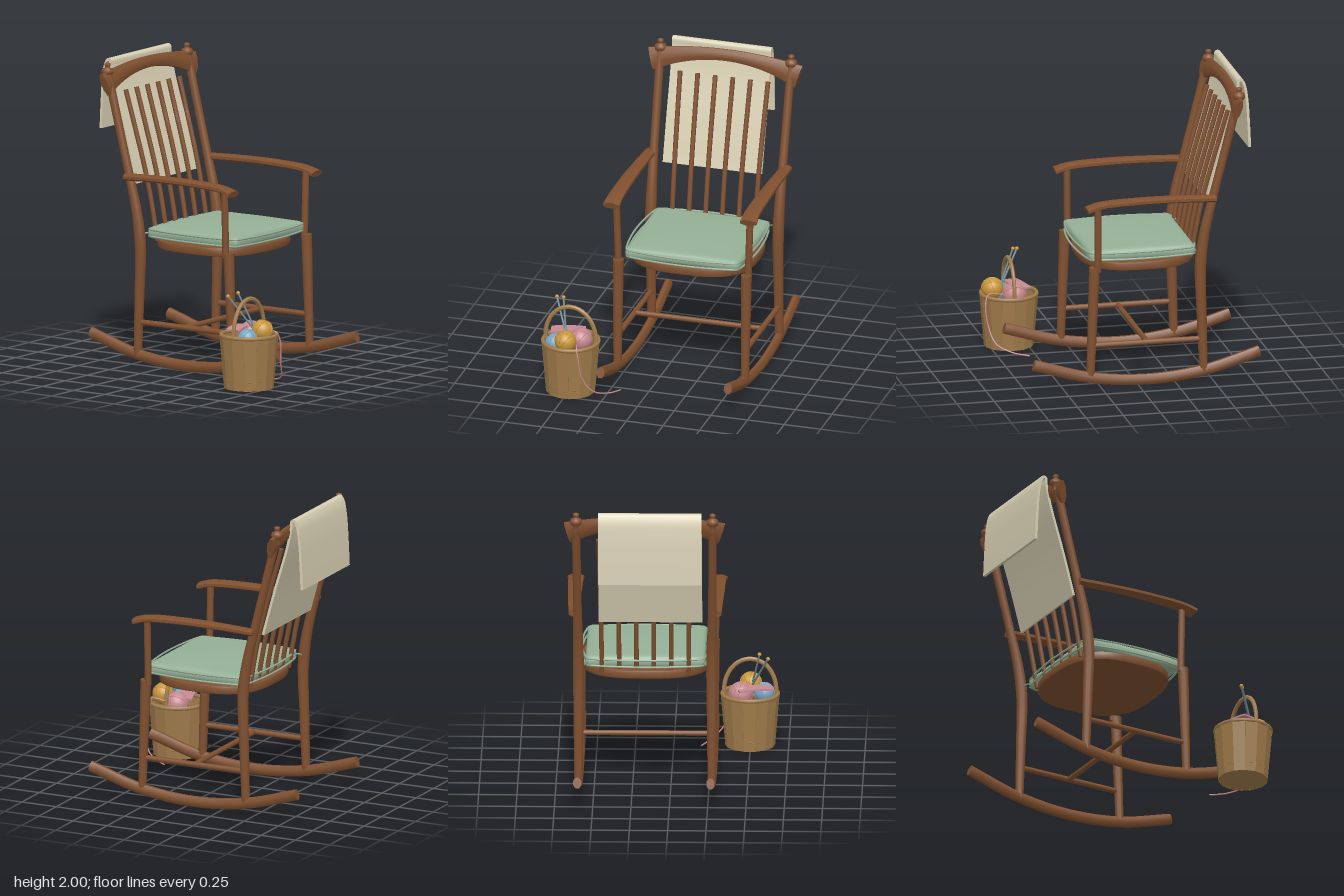
import * as THREE from 'three';
import { mergeVertices, toCreasedNormals } from 'three/addons/utils/BufferGeometryUtils.js';

const V = (x, y, z) => new THREE.Vector3(x, y, z);
const lerp = THREE.MathUtils.lerp;
const SIDEWAYS = V(1, 0, 0);

// Closed bar along a curve; w and h are half sizes (numbers or functions of t), w measured along "side".
function sweep(points, w, h, { sides = 12, side = SIDEWAYS, steps = 16, crease = 0.7 } = {}) {
  const curve = points.length > 2 ? new THREE.CatmullRomCurve3(points) : new THREE.LineCurve3(points[0], points[1]);
  const pos = [], idx = [];
  const k = 1 / Math.cos(Math.PI / sides);
  const val = (f, t) => (typeof f === 'function' ? f(t) : f);
  for (let i = 0; i <= steps; i++) {
    const t = i / steps, p = curve.getPoint(t), T = curve.getTangent(t);
    const S = side.clone().addScaledVector(T, -side.dot(T)).normalize();
    const U = T.clone().cross(S);
    for (let j = 0; j < sides; j++) {
      const a = ((j + 0.5) / sides) * Math.PI * 2;
      const q = p.clone().addScaledVector(S, Math.cos(a) * k * val(w, t)).addScaledVector(U, Math.sin(a) * k * val(h, t));
      pos.push(q.x, q.y, q.z);
    }
  }
  for (let i = 0; i < steps; i++) for (let j = 0; j < sides; j++) {
    const a = i * sides + j, b = i * sides + (j + 1) % sides;
    idx.push(a, b, a + sides, b, b + sides, a + sides);
  }
  const end = steps * sides;
  for (let j = 1; j < sides - 1; j++) {
    idx.push(0, j + 1, j, end, end + j, end + j + 1);
  }
  const g = new THREE.BufferGeometry();
  g.setAttribute('position', new THREE.Float32BufferAttribute(pos, 3));
  g.setIndex(idx);
  return toCreasedNormals(g, crease);
}

export function createModel() {
  const root = new THREE.Group();
  root.name = 'rockingChairWithBasket';
  const mat = (name, color) => Object.assign(new THREE.MeshStandardMaterial({ color }), { name });
  const wood = mat('wood', 0x80502f);
  const sage = mat('sageCushion', 0x95b096);
  const sageDark = mat('sagePiping', 0x78957f);
  const linen = mat('linen', 0xd8cfb3);
  const wicker = mat('wicker', 0xa17c4b);
  const mustard = mat('mustardYarn', 0xc9983c);
  const pink = mat('pinkYarn', 0xc78a91);
  const blue = mat('blueYarn', 0x7ba8c6);
  const steel = mat('needleGrey', 0x6c8794);
  const add = (parent, name, geometry, material) => {
    const m = new THREE.Mesh(geometry, material);
    m.name = name;
    parent.add(m);
    return m;
  };

  // ---- Chair ----
  const chair = new THREE.Group();
  chair.name = 'chair';
  chair.position.x = 0.165;
  root.add(chair);

  for (const s of [-1, 1]) {
    const rocker = [-1, -0.5, 0, 0.5, 1].map(u => V(s * 0.435, 0.038 + 0.143 * u * u, -0.055 + 0.755 * u));
    add(chair, 'rocker', sweep(rocker, 0.027, 0.035, { sides: 8, steps: 24 }), wood);

    const leg = t => lerp(0.026, 0.035, t);
    add(chair, 'frontLeg', sweep([V(s * 0.435, 0.07, 0.322), V(s * 0.437, 0.82, 0.295)], leg, leg), wood);

    const post = [[0.435, 0.07, -0.435], [0.435, 0.45, -0.423], [0.435, 0.8, -0.415], [0.437, 1.02, -0.443],
      [0.44, 1.25, -0.498], [0.443, 1.58, -0.582], [0.446, 1.91, -0.665]].map(p => V(s * p[0], p[1], p[2]));
    const postR = t => 0.027 + 0.01 * Math.max(0, 1 - Math.abs(t - 0.36) / 0.36);
    add(chair, 'backPost', sweep(post, postR, postR, { steps: 28 }), wood);

    const finial = new THREE.LatheGeometry([[0.024, -0.04], [0.024, -0.01], [0.038, 0.005], [0.041, 0.02], [0.036, 0.035],
      [0.017, 0.046], [0.015, 0.052], [0.021, 0.062], [0.018, 0.074], [0, 0.08]]
      .map(p => new THREE.Vector2(...p)), 14);
    add(chair, 'finial', finial, wood).position.set(s * 0.446, 1.908, -0.67);

    // arm and its support
    add(chair, 'armSupport', sweep([V(s * 0.443, 0.79, 0.275), V(s * 0.457, 1.25, 0.275)], 0.022, 0.022), wood);
    const arm = [[0.468, 1.222, 0.355], [0.466, 1.246, 0.27], [0.466, 1.26, 0], [0.465, 1.258, -0.25], [0.463, 1.248, -0.51]]
      .map(p => V(s * p[0], p[1], p[2]));
    add(chair, 'armRest', sweep(arm, t => lerp(0.056, 0.036, t), 0.022, { sides: 8, steps: 20 }), wood);

    add(chair, 'sideStretcher', sweep([V(s * 0.435, 0.29, 0.31), V(s * 0.435, 0.29, -0.425)], 0.018, 0.018), wood);

    // cushion tie hooked around the post
    const tie = [V(s * 0.37, 0.88, -0.38), V(s * 0.395, 0.87, -0.415), V(s * 0.42, 0.86, -0.425), V(s * 0.455, 0.83, -0.4), V(s * 0.46, 0.78, -0.405)];
    add(chair, 'cushionTie', new THREE.TubeGeometry(new THREE.CatmullRomCurve3(tie), 14, 0.006, 6), sageDark);
  }
  add(chair, 'crossStretcher', sweep([V(-0.435, 0.29, -0.06), V(0.435, 0.29, -0.06)], 0.017, 0.017, { side: V(0, 1, 0) }), wood);

  // seat board, a rounded-square outline
  const seatPts = [];
  for (let i = 0; i < 48; i++) {
    const a = (i / 48) * Math.PI * 2, c = Math.cos(a), d = Math.sin(a), e = 2 / 2.8;
    seatPts.push(new THREE.Vector2(Math.sign(c) * Math.abs(c) ** e * 0.41, Math.sign(d) * Math.abs(d) ** e * 0.368));
  }
  const seat = new THREE.ExtrudeGeometry(new THREE.Shape(seatPts),
    { depth: 0.03, bevelEnabled: true, bevelThickness: 0.015, bevelSize: 0.013, bevelSegments: 2 });
  seat.rotateX(-Math.PI / 2).translate(0, 0.79, -0.055);
  add(chair, 'seat', toCreasedNormals(seat, 0.6), wood);

  // crest rail, taller at the ends and bowed backwards
  const crest = [-1, -0.75, -0.5, -0.25, 0, 0.25, 0.5, 0.75, 1].map(u => V(u * 0.505, 1.926 - 0.08 * u * u, -0.668 + 0.018 * u * u));
  add(chair, 'crestRail', sweep(crest, t => 0.038 + 0.037 * (2 * t - 1) ** 2, 0.025,
    { sides: 8, steps: 28, side: V(0, 1, -0.25) }), wood);

  // back spindles
  for (let i = 0; i < 6; i++) {
    const k = i - 2.5;
    const path = [V(k * 0.113, 0.81, -0.385), V(k * 0.115, 1.2, -0.462), V(k * 0.12, 1.79, -0.628)];
    add(chair, 'backSpindle', sweep(path, 0.015, 0.015, { sides: 10 }), wood);
  }

  // cushion: rounded box with a domed top
  const half = V(0.392, 0.04, 0.36), r = 0.035, inner = half.clone().subScalar(r);
  let cushion = new THREE.BoxGeometry(half.x * 2, half.y * 2, half.z * 2, 36, 6, 36);
  const cp = cushion.attributes.position, p = V(0, 0, 0);
  for (let i = 0; i < cp.count; i++) {
    p.fromBufferAttribute(cp, i);
    const top = p.y > 0.001;
    const core = p.clone().clamp(inner.clone().negate(), inner);
    p.sub(core).setLength(r).add(core);
    if (top) p.y += 0.02 * (1 - (p.x / half.x) ** 2) * (1 - (p.z / half.z) ** 2);
    cp.setXYZ(i, p.x, p.y, p.z);
  }
  cushion.deleteAttribute('normal');
  cushion.deleteAttribute('uv');
  cushion = mergeVertices(cushion, 1e-4);
  cushion.computeVertexNormals();
  add(chair, 'cushion', cushion, sage).position.set(0, 0.877, -0.04);

  // piping around the upper and lower cushion edges
  const corners = [];
  for (let i = 0; i < 4; i++) for (let j = 0; j <= 4; j++) {
    const a = (i + j / 4) * Math.PI / 2, sx = i === 0 || i === 3 ? 1 : -1, sz = i < 2 ? 1 : -1;
    corners.push(V(sx * 0.352 + 0.036 * Math.cos(a), 0, sz * 0.32 + 0.036 * Math.sin(a)));
  }
  const loop = new THREE.CatmullRomCurve3(corners, true, 'chordal');
  for (const y of [0.855, 0.9]) {
    add(chair, 'cushionPiping', new THREE.TubeGeometry(loop, 100, 0.007, 6, true), sage).position.set(0, y, -0.04);
  }

  // throw draped behind the backrest
  const drape = [[1.19, -0.492], [1.5, -0.578], [1.8, -0.668], [1.94, -0.698], [1.985, -0.702], [1.99, -0.72],
    [1.95, -0.742], [1.85, -0.758], [1.7, -0.768], [1.53, -0.776]].map(q => V(-0.037, q[0], q[1]));
  add(chair, 'throwBlanket', sweep(drape, 0.338, 0.009, { sides: 4, steps: 54 }), linen);

  // ---- Knitting basket ----
  const basket = new THREE.Group();
  basket.name = 'knittingBasket';
  basket.position.set(-0.498, 0, 0.617);
  root.add(basket);
  const N = 14;
  for (let i = 0; i < N; i++) {
    const stave = sweep([V(0, 0, 0.152), V(0, 0.35, 0.181)], t => lerp(0.036, 0.0425, t), 0.007, { sides: 4, steps: 1 });
    add(basket, 'basketStave', stave, wicker).rotation.y = (i / N) * Math.PI * 2;
  }
  add(basket, 'basketInside', new THREE.CylinderGeometry(0.17, 0.148, 0.265, 28), wood).position.y = 0.145;
  add(basket, 'basketBase', new THREE.CylinderGeometry(0.15, 0.15, 0.012, 28), wicker).position.y = 0.007;
  for (const [y, rad, tube] of [[0.35, 0.182, 0.014], [0.06, 0.16, 0.006]]) {
    const hoop = add(basket, 'basketHoop', new THREE.TorusGeometry(rad, tube, 8, 36), wicker);
    hoop.rotation.x = Math.PI / 2;
    hoop.position.y = y;
  }
  const arch = [];
  for (let i = 0; i <= 10; i++) {
    const a = Math.PI * (1 - i / 10);
    arch.push(V(0.173 * Math.cos(a), 0.35 + 0.236 * Math.sin(a) ** 0.9, 0));
  }
  add(basket, 'basketHandle', sweep(arch, 0.012, 0.014, { sides: 8, steps: 20, side: V(0, 0, 1) }), wicker);

  // yarn balls with wound strands
  for (const [name, m, x, y, z, rad] of [['mustardBall', mustard, -0.5, 0.388, 0.727, 0.071],
    ['pinkBall', pink, -0.437, 0.355, 0.592, 0.077], ['blueBall', blue, -0.588, 0.34, 0.672, 0.066]]) {
    const ball = new THREE.Group();
    ball.name = name;
    ball.position.set(x, y, z);
    root.add(ball);
    add(ball, 'yarnBall', new THREE.SphereGeometry(rad, 20, 14), m);
    for (let i = 0; i < 3; i++) {
      add(ball, 'yarnStrand', new THREE.TorusGeometry(rad, 0.003, 5, 28), m).rotation.set(i * 1.1 + 0.4, i * 0.9, 0);
    }
  }

  // knitted swatch lying on the yarn
  const swatch = [V(-0.64, 0.395, 0.59), V(-0.58, 0.402, 0.575), V(-0.5, 0.402, 0.555), V(-0.42, 0.395, 0.53)];
  add(root, 'knittedSwatch', sweep(swatch, 0.05, 0.006, { sides: 4, side: V(0.28, 0, 1) }), pink);

  // needles with round heads
  for (const [tip, head] of [[V(-0.5, 0.37, 0.68), V(-0.617, 0.612, 0.535)], [V(-0.505, 0.37, 0.685), V(-0.56, 0.63, 0.575)]]) {
    add(root, 'knittingNeedle', sweep([tip, head], 0.006, 0.006, { sides: 8, steps: 1 }), steel);
    add(root, 'needleHead', new THREE.SphereGeometry(0.013, 12, 8), mustard).position.copy(head);
  }

  // loose strand over the rim to the floor
  const tail = [V(-0.43, 0.36, 0.665), V(-0.412, 0.372, 0.77), V(-0.395, 0.31, 0.795), V(-0.37, 0.16, 0.78), V(-0.31, 0.065, 0.745),
    V(-0.235, 0.02, 0.65), V(-0.177, 0.008, 0.55)];
  add(root, 'yarnTail', new THREE.TubeGeometry(new THREE.CatmullRomCurve3(tail), 40, 0.005, 6), pink);

  return root;
}
